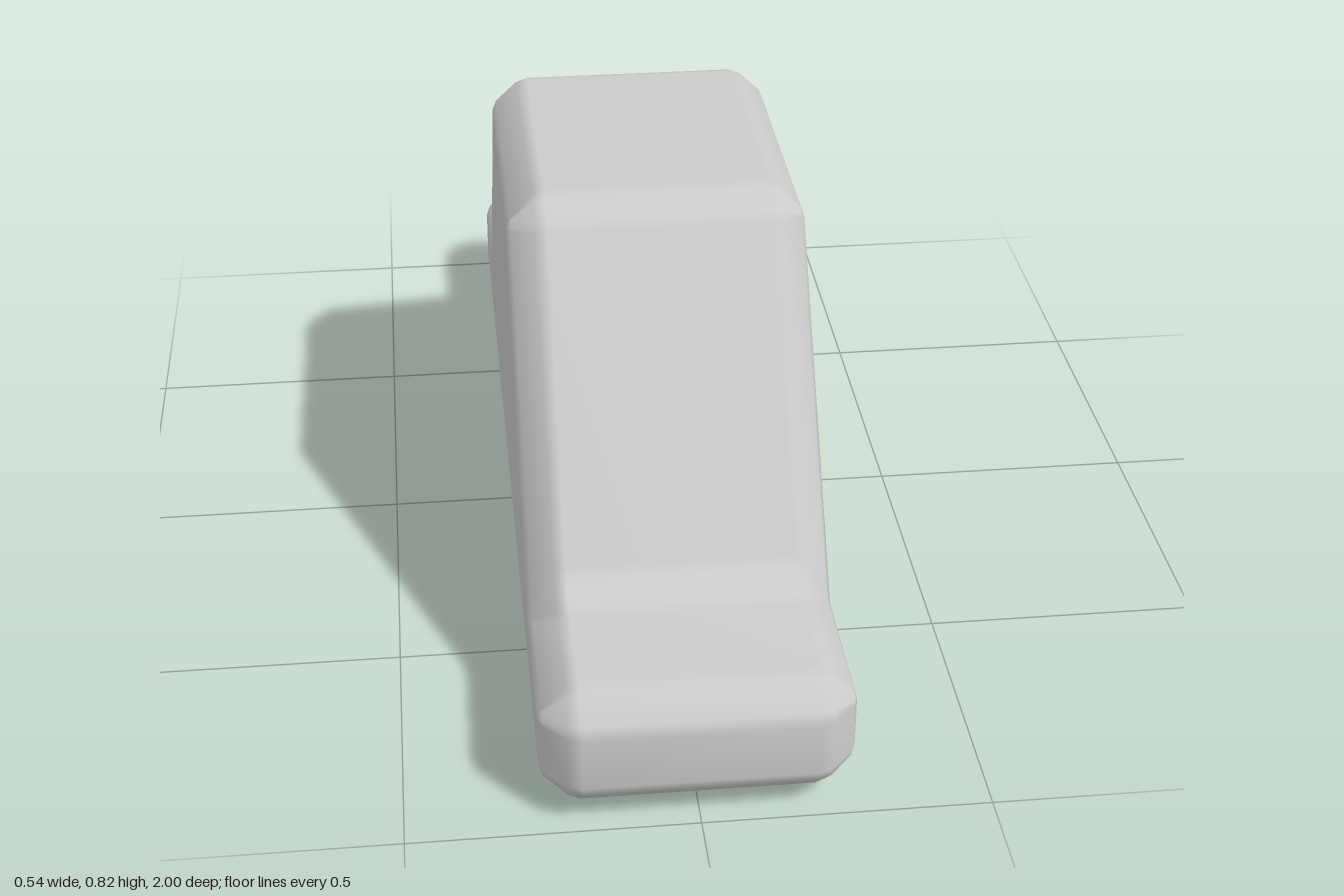
import * as THREE from 'three';

// Side outline as (z, y) corners, counter-clockwise, with the rounding length of each corner
const OUTLINE = [
  [-1, 0.011, 0.07], [1, 0.011, 0.07], [1, 0.25, 0.07], [0.7, 0.25, 0.055],
  [0.298, 0.82, 0.055], [-0.298, 0.82, 0.055], [-0.7, 0.25, 0.055], [-1, 0.25, 0.07],
];
const BEVEL = 0.07;
// Bevel steps as [x, inset of the outline]
const STEPS = [[0.2, 0], [0.222, 0.009], [0.262, 0.049], [0.27, BEVEL]];
// Soft chamfer, as distances from the corner along its two edges
const CORNER = [[1, 0], [0.69, 0.13], [0.13, 0.69], [0, 1]];

// Outline moved inwards, with softened corners that shrink along with it
function insetRing(inset) {
  const n = OUTLINE.length;
  const corners = OUTLINE.map(([z, y]) => new THREE.Vector2(z, y));
  const dirs = corners.map((p, i) => corners[(i + 1) % n].clone().sub(p).normalize());
  const ring = [];
  corners.forEach((p, i) => {
    const before = dirs[(i + n - 1) % n], after = dirs[i];
    const n1 = new THREE.Vector2(-before.y, before.x);
    const n2 = new THREE.Vector2(-after.y, after.x);
    const q = n1.clone().add(n2).multiplyScalar(inset / (1 + n1.dot(n2))).add(p);
    const cut = OUTLINE[i][2] * Math.max(0.03, 1 - inset / BEVEL);
    for (const [a, b] of CORNER) {
      ring.push(q.clone().addScaledVector(before, -a * cut).addScaledVector(after, b * cut));
    }
  });
  return ring;
}

// Skin of rings across the width, closed by a flat cap on both sides
function createBodyGeometry() {
  const half = STEPS.map(([x, inset]) => ({ x, ring: insetRing(inset) }));
  const rings = [...half].reverse().map(({ x, ring }) => ({ x: -x, ring })).concat(half);
  const count = rings[0].ring.length;
  const positions = [], index = [];
  for (const { x, ring } of rings) for (const p of ring) positions.push(x, p.y, p.x);
  for (let j = 0; j < rings.length - 1; j++) {
    for (let i = 0; i < count; i++) {
      const a = j * count + i, b = j * count + (i + 1) % count;
      index.push(a, a + count, b, b, a + count, b + count);
    }
  }
  const last = (rings.length - 1) * count;
  for (const [a, b, c] of THREE.ShapeUtils.triangulateShape(rings[0].ring, [])) {
    index.push(a, b, c, last + a, last + c, last + b);
  }
  const geometry = new THREE.BufferGeometry();
  geometry.setAttribute('position', new THREE.Float32BufferAttribute(positions, 3));
  geometry.setIndex(index);
  geometry.computeVertexNormals(); // area-weighted, so large faces stay flat
  return geometry;
}

export function createModel() {
  const group = new THREE.Group();
  const body = new THREE.Mesh(createBodyGeometry(), new THREE.MeshStandardMaterial({ color: 0xcccccc }));
  body.name = 'bevelledBlock';
  body.rotation.x = -0.0105; // slight lift of the front end
  group.add(body);
  return group;
}
